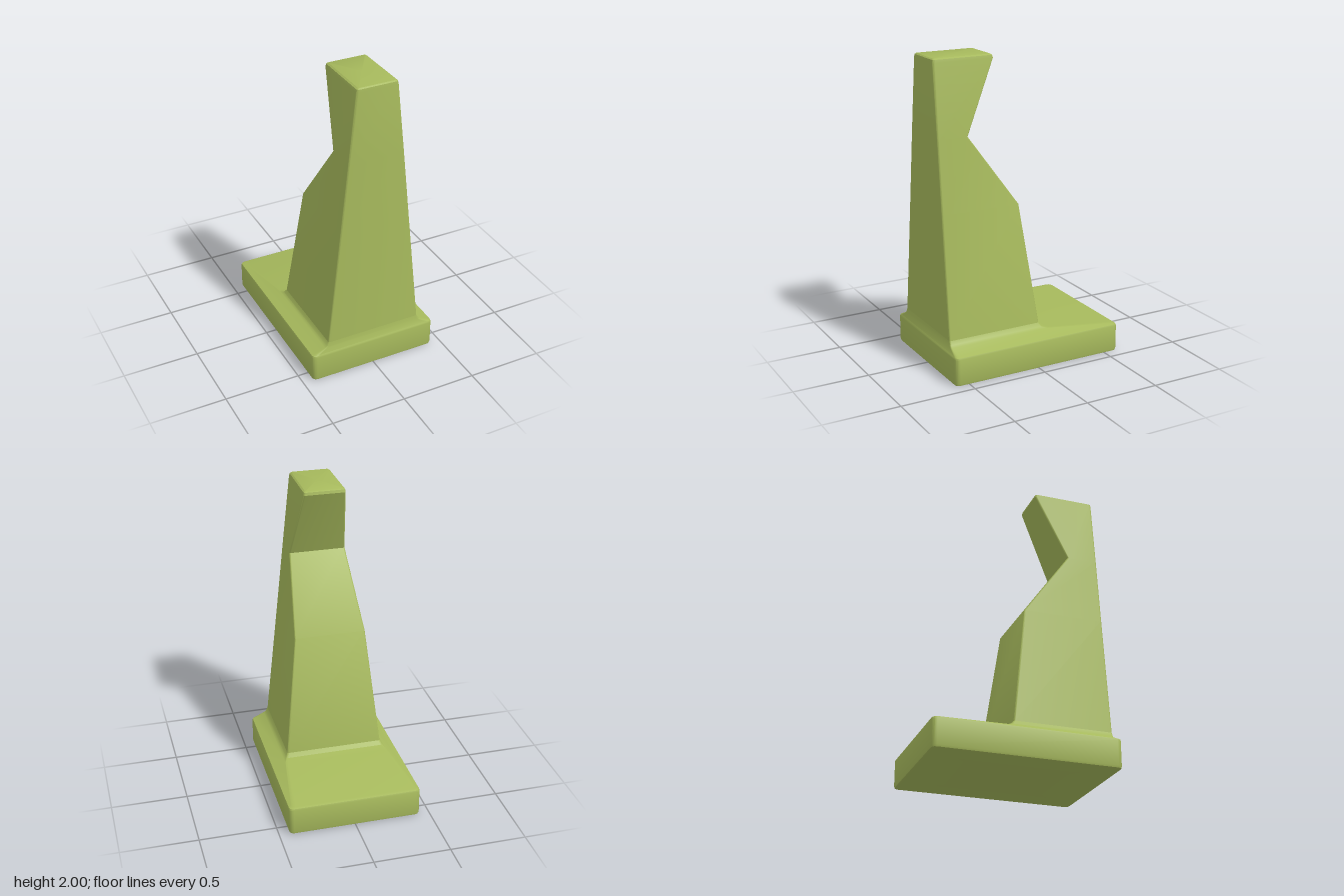
import * as THREE from 'three';
import { toCreasedNormals } from 'three/addons/utils/BufferGeometryUtils.js';

const CORNER_STEPS = 3;

// Rounded rectangle at height y, from half width, front z, back z and corner radius
function ring([y, halfWidth, front, back, r]) {
  const corners = [
    [halfWidth - r, front - r],
    [-halfWidth + r, front - r],
    [-halfWidth + r, back + r],
    [halfWidth - r, back + r],
  ];
  const points = [];
  corners.forEach(([cx, cz], k) => {
    for (let i = 0; i <= CORNER_STEPS; i++) {
      const a = (k + i / CORNER_STEPS) * Math.PI / 2;
      points.push([cx + r * Math.cos(a), y, cz + r * Math.sin(a)]);
    }
  });
  return points;
}

// Skin stacked rings, closing the bottom or the top where asked
function loft(sections, { bottom = false, top = false }) {
  const rings = sections.map(ring);
  const n = rings[0].length;
  const positions = rings.flat(2);
  const index = [];
  for (let i = 0; i < rings.length - 1; i++) {
    for (let j = 0; j < n; j++) {
      const a = i * n + j, b = i * n + (j + 1) % n;
      index.push(a, a + n, b, b, a + n, b + n);
    }
  }
  const cap = (start, section, up) => {
    const centre = positions.length / 3;
    positions.push(0, section[0], (section[2] + section[3]) / 2);
    for (let j = 0; j < n; j++) {
      const a = start + j, b = start + (j + 1) % n;
      index.push(centre, up ? b : a, up ? a : b);
    }
  };
  if (bottom) cap(0, sections[0], false);
  if (top) cap((rings.length - 1) * n, sections[sections.length - 1], true);

  const geometry = new THREE.BufferGeometry();
  geometry.setAttribute('position', new THREE.Float32BufferAttribute(positions, 3));
  geometry.setIndex(index);
  return toCreasedNormals(geometry, 0.6);
}

export function createModel() {
  const group = new THREE.Group();
  group.name = 'notchedPost';
  const green = new THREE.MeshStandardMaterial({ color: 0xa6b95c });
  green.name = 'olive green';

  // Rows: y, half width, front z, back z, corner radius
  const base = new THREE.Mesh(loft([
    [0, 0.42, 0.582, -0.582, 0.02],
    [0.005, 0.431, 0.592, -0.592, 0.028],
    [0.018, 0.435, 0.595, -0.595, 0.03],
    [0.178, 0.435, 0.595, -0.595, 0.03],
    [0.188, 0.431, 0.593, -0.591, 0.028],
    [0.195, 0.415, 0.59, -0.575, 0.025],
    [0.227, 0.348, 0.586, -0.12, 0.015],
    [0.239, 0.333, 0.585, -0.077, 0.012],
    [0.265, 0.321, 0.583, -0.058, 0.01],
  ], { bottom: true }), green);
  base.name = 'base';

  const tower = new THREE.Mesh(loft([
    [0.265, 0.321, 0.583, -0.058, 0.01],
    [1.055, 0.236, 0.58, 0.045, 0.01],
    [1.515, 0.187, 0.579, 0.373, 0.01],
    [1.975, 0.138, 0.578, 0.168, 0.014],
    [1.993, 0.134, 0.576, 0.172, 0.014],
    [2, 0.124, 0.568, 0.183, 0.01],
  ], { top: true }), green);
  tower.name = 'tower';

  group.add(base, tower);
  return group;
}
